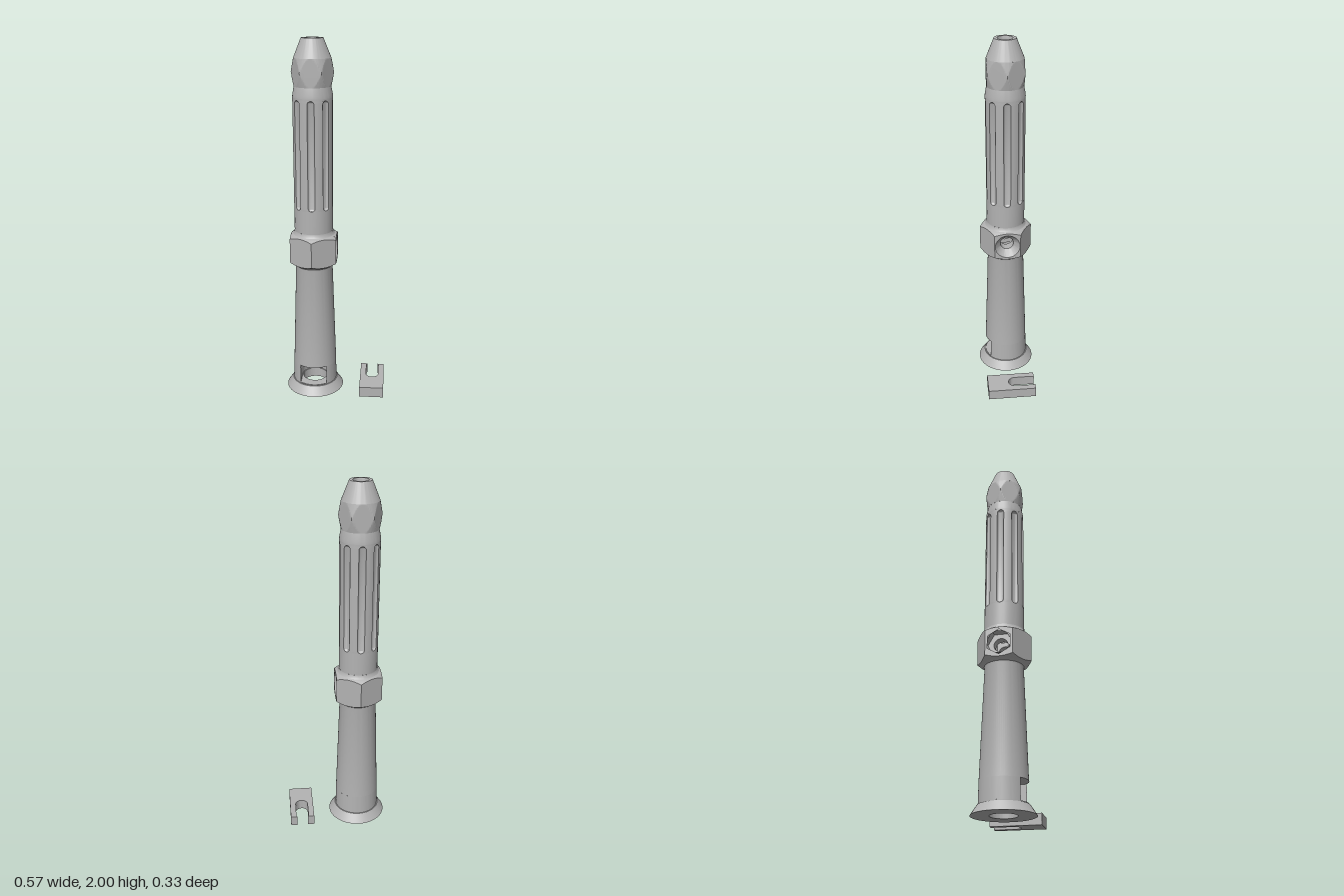
import * as THREE from 'three';
import { toCreasedNormals } from 'three/addons/utils/BufferGeometryUtils.js';

const grey = new THREE.MeshStandardMaterial({ color: 0xb3b3b3, side: THREE.DoubleSide });
grey.name = 'plainGrey';

const mesh = (name, geo, crease = 0.45) => {
  const m = new THREE.Mesh(toCreasedNormals(geo, crease), grey);
  m.name = name;
  return m;
};
const lathe = (name, pts, start = 0, length = Math.PI * 2) =>
  mesh(name, new THREE.LatheGeometry(pts.map(p => new THREE.Vector2(...p)), 72, start, length));

// Closed tube surface: f(i, j) returns [angle, radius, y]
function sweep(name, nu, nv, f, crease) {
  const pos = [], idx = [];
  for (let j = 0; j <= nv; j++) for (let i = 0; i <= nu; i++) {
    const [a, r, y] = f(i, j);
    pos.push(r * Math.sin(a), y, r * Math.cos(a));
  }
  for (let j = 0; j < nv; j++) for (let i = 0; i < nu; i++) {
    const a = j * (nu + 1) + i, c = a + nu + 1;
    idx.push(a, a + 1, c + 1, a, c + 1, c);
  }
  const g = new THREE.BufferGeometry();
  g.setAttribute('position', new THREE.Float32BufferAttribute(pos, 3));
  g.setIndex(idx);
  g.computeVertexNormals();
  return mesh(name, g, crease);
}

// Radius of a hexagon with its corners on multiples of 60 degrees from `corner`
const hexRadius = (a, flat, corner) => {
  const p = Math.PI / 3;
  const t = (((a - corner) % p) + p) % p;
  return flat / Math.cos(t - p / 2);
};
const circlePath = (r, sides = 48) => {
  const p = new THREE.Path();
  for (let i = 0; i <= sides; i++) {
    const a = (i / sides) * Math.PI * 2;
    i ? p.lineTo(r * Math.sin(a), r * Math.cos(a)) : p.moveTo(0, r);
  }
  return p;
};

// Fluted grip: eight grooves with rounded ends
function makeGrip() {
  const R = 0.107, W = 0.019, D = 0.014, y0 = 1.10, y1 = 1.69, rows = [0.97, y0 - 0.001];
  for (let k = 0; k <= 8; k++) rows.push(y0 + W * (1 - Math.cos(k * Math.PI / 16)));
  for (let k = 0; k <= 8; k++) rows.push(y1 - W * (1 - Math.sin(k * Math.PI / 16)));
  rows.push(y1 + 0.001, 1.70);
  const n = 14, period = Math.PI / 4;
  return sweep('flutedGrip', n * 8, rows.length - 1, (i, j) => {
    const y = rows[j], s = Math.floor(i / n), k = i % n;
    const e = Math.max(0, y0 + W - y, y - y1 + W) / W;
    const t = Math.sqrt(Math.max(0, 1 - e * e)), w = Math.max(0.0005, W * t) / R;
    if (k <= 10) {
      const u = -Math.cos(k / 10 * Math.PI);
      return [s * period + u * w, R - D * t * Math.sqrt(Math.max(0, 1 - u * u)), y];
    }
    return [s * period + w + (period - 2 * w) * (k - 10) / 4, R, y];
  }, 0.6);
}

// Hexagonal collar with chamfered rims and a hole across it
function makeCollar() {
  const g = new THREE.Group();
  g.name = 'hexCollar';
  const flat = 0.127, yc = 0.862, half = 0.082, side = flat / Math.sqrt(3);
  const rim = r => half - (r - flat) * 0.65;
  for (let f = 0; f < 6; f++) {
    const shape = new THREE.Shape();
    for (let k = 0; k <= 32; k++) {
      const up = k > 16, s = up ? side * (1 - (k - 17) / 15 * 2) : side * (k / 8 - 1);
      const y = rim(Math.hypot(flat, s)) * (up ? 1 : -1);
      k ? shape.lineTo(s, y) : shape.moveTo(s, y);
    }
    if (f === 0) shape.holes.push(circlePath(0.07));
    if (f === 3) shape.holes.push(circlePath(0.07, 6));
    const m = mesh('collarFace', new THREE.ShapeGeometry(shape).translate(0, 0, flat));
    m.rotation.y = Math.PI / 2 + f * Math.PI / 3;
    m.position.y = yc;
    g.add(m);
  }
  for (const s of [-1, 1]) g.add(sweep('collarChamfer', 96, 1, (i, j) => {
    const a = i / 96 * Math.PI * 2, r = hexRadius(a, flat, 0);
    return j ? [a, flat, yc + s * half] : [a, r, yc + s * rim(r)];
  }));
  // Round countersink on the left, hexagonal pocket on the right
  const sink = lathe('countersink', [[0.037, 0.03], [0.037, 0.085], [0.07, flat]]);
  sink.rotation.z = -Math.PI / 2;
  const pocket = new THREE.Group();
  pocket.name = 'nutPocket';
  pocket.add(mesh('pocketWall', new THREE.CylinderGeometry(0.07, 0.07, 0.05, 6, 1, true).translate(0, flat - 0.025, 0)));
  const floor = new THREE.Shape(circlePath(0.07, 6).getPoints());
  floor.holes.push(circlePath(0.037));
  pocket.add(mesh('pocketFloor', new THREE.ShapeGeometry(floor).rotateX(-Math.PI / 2).translate(0, flat - 0.05, 0)));
  pocket.add(lathe('pocketBore', [[0.037, 0.03], [0.037, flat - 0.05]]));
  pocket.rotation.z = Math.PI / 2;
  for (const p of [sink, pocket]) { p.position.y = yc; g.add(p); }
  // Bore wall opened around the cross hole
  const cut = Math.asin(0.045 / 0.055);
  for (const s of [-1, 1]) {
    g.add(lathe('boreWall', [[0.055, 0.80], [0.055, 0.924]], s * Math.PI / 2 + cut, Math.PI - 2 * cut));
    const plate = new THREE.Shape([[-0.045, -0.062], [0.045, -0.062], [0.045, 0.062], [-0.045, 0.062]]
      .map(p => new THREE.Vector2(...p)));
    plate.holes.push(circlePath(0.037));
    g.add(mesh('boreFlat', new THREE.ShapeGeometry(plate).rotateY(-s * Math.PI / 2)
      .translate(s * 0.055 * Math.cos(cut), yc, 0)));
  }
  return g;
}

// Slot at the foot of the barrel: U-shaped cavity, open to the front
function makeSlot(y0, y1) {
  const g = new THREE.Group();
  g.name = 'clipSlot';
  const w = 0.075, R = 0.124, a = Math.asin(w / R);
  const outline = [];
  for (let k = 0; k <= 24; k++) {
    const t = Math.PI * (0.5 + k / 24);
    outline.push(new THREE.Vector2(w * Math.sin(t), -w * Math.cos(t)));
  }
  for (let k = 0; k <= 12; k++) {
    const t = -a + 2 * a * k / 12;
    outline.push(new THREE.Vector2(R * Math.sin(t), -R * Math.cos(t)));
  }
  for (const [name, y, r] of [['slotFloor', y0, 0.07], ['slotRoof', y1, 0.055]]) {
    const s = new THREE.Shape(outline);
    s.holes.push(circlePath(r));
    g.add(mesh(name, new THREE.ShapeGeometry(s).rotateX(-Math.PI / 2).translate(0, y, 0)));
  }
  const depth = R * Math.cos(a);
  for (const s of [-1, 1]) g.add(mesh('slotSide', new THREE.PlaneGeometry(depth, y1 - y0)
    .rotateY(-s * Math.PI / 2).translate(s * w, (y0 + y1) / 2, depth / 2)));
  g.add(lathe('slotBack', [[w, y1], [w, y0]], Math.PI / 2, Math.PI));
  g.add(lathe('barrelFoot', [[0.125, y0], [0.123, y1]], a, Math.PI * 2 - 2 * a));
  return g;
}

// Loose U-shaped clip with slightly pinched lips at the back
function makeClip() {
  const s = new THREE.Shape();
  s.moveTo(-0.069, -0.138);
  s.lineTo(0.069, -0.138);
  s.lineTo(0.069, 0.138);
  s.lineTo(0.031, 0.138);
  s.quadraticCurveTo(0.036, 0.131, 0.036, 0.12);
  s.lineTo(0.036, 0.02);
  s.absarc(0, 0.02, 0.036, 0, Math.PI, true);
  s.lineTo(-0.036, 0.12);
  s.quadraticCurveTo(-0.036, 0.131, -0.031, 0.138);
  s.lineTo(-0.069, 0.138);
  const geo = new THREE.ExtrudeGeometry(s, { depth: 0.06, bevelEnabled: false, curveSegments: 24 });
  const m = mesh('clip', geo.rotateX(-Math.PI / 2));
  m.position.x = 0.215;
  return m;
}

export function createModel() {
  const model = new THREE.Group();
  model.name = 'flutedTubeWithClip';
  const tube = new THREE.Group();
  tube.name = 'tube';
  tube.position.x = -0.121;

  // Foot flange and tapered barrel
  tube.add(lathe('flange', [[0.07, 0.055], [0.07, 0], [0.164, 0], [0.13, 0.05], [0.125, 0.05], [0.125, 0.055]]));
  tube.add(makeSlot(0.055, 0.165));
  tube.add(lathe('barrel', [[0.123, 0.165], [0.103, 0.755], [0.105, 0.765], [0.114, 0.774], [0.127, 0.78]]));
  tube.add(lathe('lowerBore', [[0.055, 0.80], [0.055, 0.165]]));

  // Collar, neck and grip
  tube.add(makeCollar());
  tube.add(lathe('neck', [[0.127, 0.944], [0.116, 0.95], [0.109, 0.96], [0.107, 0.97]]));
  tube.add(makeGrip());

  // Tip: shoulder, hexagonal band cut by two cones, then the nose
  tube.add(lathe('shoulder', [[0.107, 1.70], [0.106, 1.715], [0.098, 1.755]]));
  tube.add(sweep('facetedBand', 96, 28, (i, j) => {
    const a = i / 96 * Math.PI * 2, y = 1.755 + 0.145 * j / 28;
    return [a, Math.min(hexRadius(a, 0.098, Math.PI / 6), 0.113 - 0.2 * Math.abs(y - 1.8275)), y];
  }, 0.2));
  tube.add(lathe('nose', [[0.0985, 1.90], [0.058, 2], [0.041, 2], [0.038, 1.985], [0.038, 0.97], [0.055, 0.924]]));

  model.add(tube, makeClip());
  return model;
}
